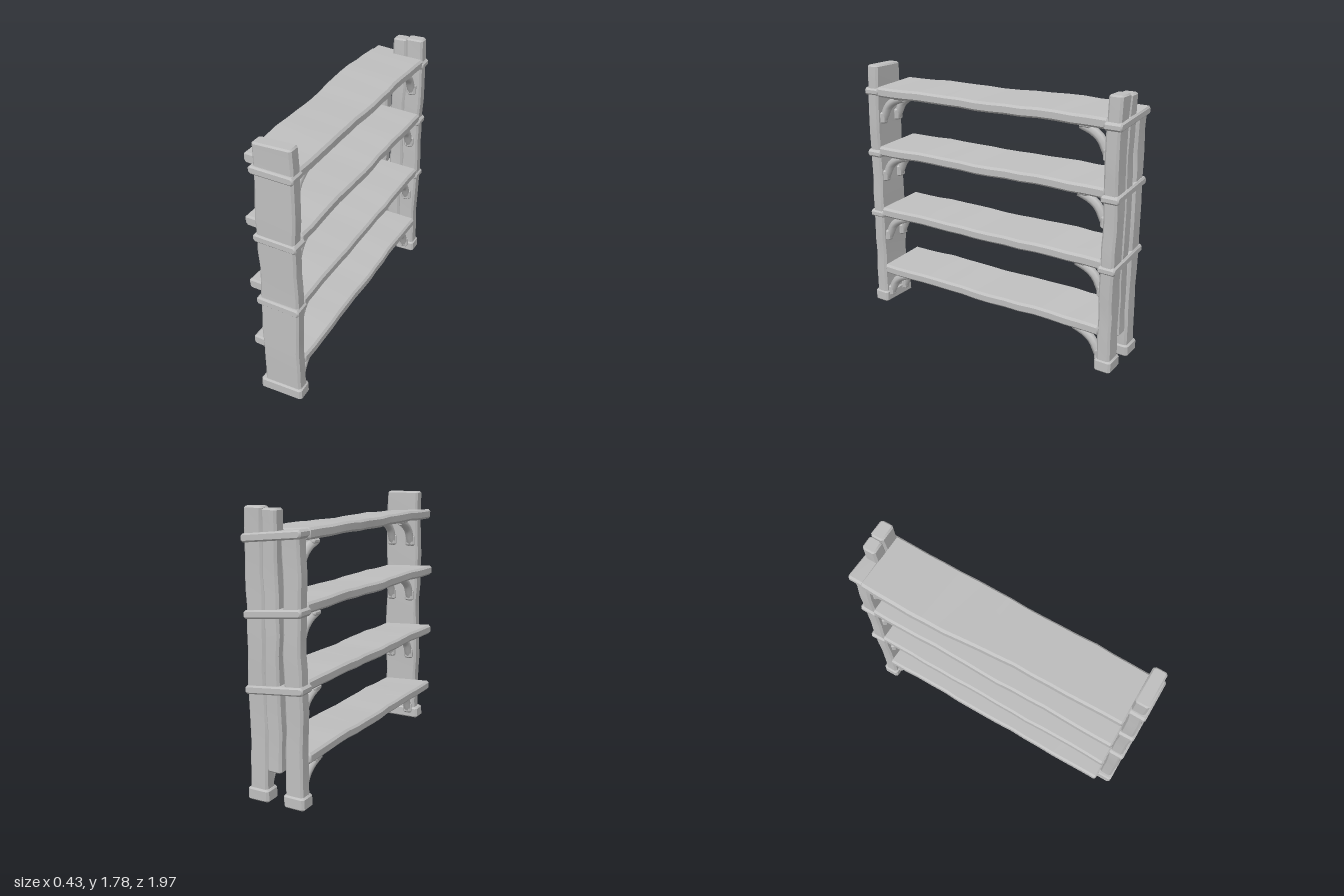
import * as THREE from 'three';
import { toCreasedNormals } from 'three/addons/utils/BufferGeometryUtils.js';

const wood = new THREE.MeshStandardMaterial({ color: 0xbfbfbf });
wood.name = 'plainWood';

// Rough-hewn timber filling a box: a bevelled bar along y or z with hand-cut unevenness.
function timber(name, [x0, x1], [y0, y1], [z0, z1], { along = 'z', rough = 0.005, bevel = 0.014, bow = null } = {}) {
  const up = along === 'y';
  const w = x1 - x0, h = up ? z1 - z0 : y1 - y0, len = up ? y1 - y0 : z1 - z0;
  const c = bevel;
  const s = new THREE.Shape();
  s.moveTo(-w / 2 + c, -h / 2);
  s.lineTo(w / 2 - c, -h / 2);
  s.lineTo(w / 2, -h / 2 + c);
  s.lineTo(w / 2, h / 2 - c);
  s.lineTo(w / 2 - c, h / 2);
  s.lineTo(-w / 2 + c, h / 2);
  s.lineTo(-w / 2, h / 2 - c);
  s.lineTo(-w / 2, -h / 2 + c);
  const e = bevel * 0.7;
  let geo = new THREE.ExtrudeGeometry(s, {
    depth: len - 2 * e, steps: Math.max(1, Math.round(len / 0.12)),
    bevelEnabled: true, bevelThickness: e, bevelSize: e, bevelOffset: -e, bevelSegments: 1,
  });
  geo.translate(0, 0, e - len / 2);
  if (up) geo.rotateX(-Math.PI / 2);
  geo.translate((x0 + x1) / 2, (y0 + y1) / 2, (z0 + z1) / 2);
  const p = geo.attributes.position;
  for (let i = 0; i < p.count; i++) {
    let x = p.getX(i), y = p.getY(i), z = p.getZ(i);
    const t = up ? y : z;
    const a = Math.sin(t * 9 + x * 7 + y0 * 5) + 0.6 * Math.sin(t * 23 + x * 11);
    const b = Math.sin(t * 7 + z0 * 4 + 2) + 0.6 * Math.sin(t * 19 + x * 17 + 1);
    if (bow) [x, y] = bow(x, y, z);
    p.setXYZ(i, x + rough * a * 0.8, up ? y : y + rough * b, up ? z + rough * b * 0.6 : z);
  }
  geo = toCreasedNormals(geo, 0.6);
  const mesh = new THREE.Mesh(geo, wood);
  mesh.name = name;
  return mesh;
}

// Curved brace from a post up to the underside of a shelf; dir is the end it stands at.
function brace(x, y, dir) {
  const at = (z, dy) => new THREE.Vector3(x, y + dy, dir * z);
  const curve = new THREE.CatmullRomCurve3([
    at(0.885, -0.2), at(0.86, -0.15), at(0.825, -0.085), at(0.77, -0.042), at(0.69, -0.012),
  ]);
  const group = new THREE.Group();
  group.name = 'brace';
  const arm = new THREE.Mesh(new THREE.TubeGeometry(curve, 8, 0.03, 7), wood);
  arm.name = 'braceArm';
  group.add(arm);
  // knobby ends where the brace is fixed
  group.add(timber('braceFoot', [x - 0.035, x + 0.035], [y - 0.21, y - 0.13], [Math.min(dir * 0.89, dir * 0.85), Math.max(dir * 0.89, dir * 0.85)], { along: 'y', rough: 0.002 }));
  group.add(timber('braceHead', [x - 0.035, x + 0.035], [y - 0.03, y + 0.01], [Math.min(dir * 0.76, dir * 0.68), Math.max(dir * 0.76, dir * 0.68)], { rough: 0.002 }));
  return group;
}

export function createModel() {
  const model = new THREE.Group();
  model.name = 'shelfRack';
  const Y = { along: 'y' };
  const front = [0.88, 0.972], back = [-0.972, -0.88];

  // Single wide post at the front end
  model.add(timber('frontPost', [-0.06, 0.195], [0.01, 1.78], front, Y));
  model.add(timber('frontFoot', [-0.085, 0.205], [0, 0.08], [0.87, 0.985], { along: 'y', rough: 0.003 }));

  // Back end: tall post of two boards beside a shorter post
  model.add(timber('backOuterBoard', [0.068, 0.195], [0.01, 1.78], back, Y));
  model.add(timber('backInnerBoard', [-0.03, 0.072], [0.2, 1.77], back, Y));
  model.add(timber('backShortPost', [-0.18, -0.06], [0.01, 1.645], back, Y));
  model.add(timber('backOuterFoot', [0.055, 0.205], [0, 0.08], [-0.985, -0.87], { along: 'y', rough: 0.003 }));
  model.add(timber('backShortFoot', [-0.192, -0.05], [0, 0.08], [-0.985, -0.87], { along: 'y', rough: 0.003 }));

  // Shelves, tipping slightly down toward +x, each with braces at both ends
  const levels = [0.285, 0.735, 1.195, 1.618];
  levels.forEach((y, i) => {
    const top = i === 3;
    const bow = (px, py, pz) => {
      const edge = Math.max(0, -px / 0.19);
      const swell = top ? 0.035 * Math.exp(-(((pz + 0.5) / 0.4) ** 2)) - 0.012 * pz : 0.008;
      return [px - edge * swell, py - 0.06 * px - 0.007 * pz];
    };
    model.add(timber('shelf', [-0.18, 0.198], [y - 0.034, y + 0.034], [-0.89, 0.885], { bow, rough: 0.0035 }));
    for (const x of [-0.01, 0.14]) model.add(brace(x, y - 0.035, 1));
    for (const x of [-0.115, 0.13]) model.add(brace(x, y - 0.035, -1));
  });

  // Bands wrapped round the posts
  for (const y of [0.71, 1.165, 1.61]) {
    const h = [y - 0.026, y + 0.026];
    model.add(timber('frontBand', [-0.08, 0.208], h, [0.868, 0.986], { rough: 0.003, bow: (x, py) => [x, py - 0.05 * x] }));
    model.add(timber('backBand', [-0.198, 0.208], h, [-0.986, -0.868], { rough: 0.003, bow: (x, py) => [x, py - 0.1 * (x - 0.1)] }));
  }
  return model;
}
